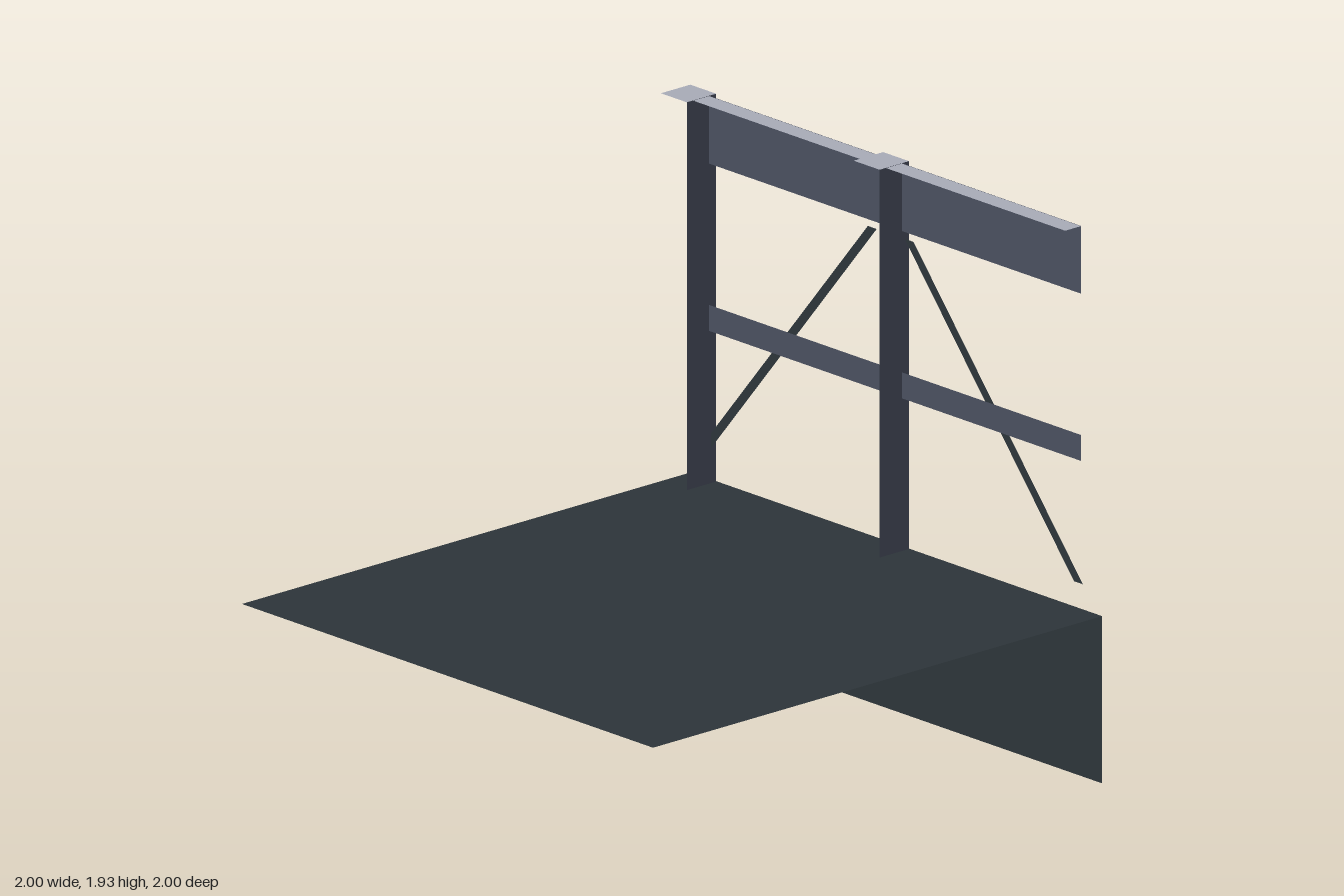
import * as THREE from 'three';

const material = (name, color) =>
  Object.assign(new THREE.MeshStandardMaterial({ color, side: THREE.DoubleSide }), { name });

export function createModel() {
  const model = new THREE.Group();
  model.name = 'railedLedge';

  const deckDark = material('dark slate', 0x2d353a);
  const steel = material('blue grey steel', 0x4a5060);
  const capGrey = material('pale cap grey', 0xa9acb8);
  const rust = material('rust orange', 0x8f5638);

  const add = (parent, name, geometry, mat) => {
    const mesh = new THREE.Mesh(geometry, mat);
    mesh.name = name;
    parent.add(mesh);
  };
  // Single-sheet faces, each given by its extents
  const sideFace = (x, y0, y1, z0, z1) =>
    new THREE.PlaneGeometry(z1 - z0, y1 - y0).rotateY(Math.PI / 2)
      .translate(x, (y0 + y1) / 2, (z0 + z1) / 2);
  const topFace = (y, x0, x1, z0, z1) =>
    new THREE.PlaneGeometry(x1 - x0, z1 - z0).rotateX(-Math.PI / 2)
      .translate((x0 + x1) / 2, y, (z0 + z1) / 2);
  const frontFace = (z, x0, x1, y0, y1) =>
    new THREE.PlaneGeometry(x1 - x0, y1 - y0)
      .translate((x0 + x1) / 2, (y0 + y1) / 2, z);

  const floorY = 0.58, topY = 1.925;

  // Deck and its outer wall
  add(model, 'deck', topFace(floorY, -1, 1, -1, 1), deckDark);
  add(model, 'outerWall', sideFace(1, 0, floorY, -1, 1), deckDark);

  // Posts: outer face, front face and cap
  for (const [name, z0, z1] of [['middlePost', -0.062, 0.064], ['rearPost', -1, -0.874]]) {
    const post = new THREE.Group();
    post.name = name;
    add(post, 'postSide', sideFace(0.997, floorY, topY, z0, z1), steel);
    add(post, 'postFront', frontFace(z1, 0.866, 0.997, floorY, topY), steel);
    add(post, 'postCap', topFace(topY, 0.866, 0.997, z0, z1), capGrey);
    model.add(post);
  }

  // Rails
  add(model, 'topRail', sideFace(0.965, 1.69, topY, -0.935, 0.935), steel);
  add(model, 'topRailCap', topFace(topY - 0.001, 0.895, 0.965, -0.935, 0.935), capGrey);
  add(model, 'middleRail', sideFace(0.965, 1.11, 1.2, -0.935, 0.935), steel);

  // Diagonal braces, mirrored about the middle post
  for (const s of [1, -1]) {
    const outline = [[0.935, 0.68], [0.892, 0.68], [0.068, 1.662], [0.111, 1.662]];
    const shape = new THREE.Shape(outline.map(([z, y]) => new THREE.Vector2(-s * z, y)));
    const brace = new THREE.ShapeGeometry(shape).rotateY(Math.PI / 2).translate(0.974, 0, 0);
    add(model, s > 0 ? 'frontBrace' : 'rearBrace', brace, deckDark);
  }

  // Rust marks on the top rail
  for (const z of [0.424, -0.577]) {
    add(model, 'rustMark', sideFace(0.969, 1.738, 1.88, z - 0.02, z + 0.02), rust);
  }

  return model;
}
